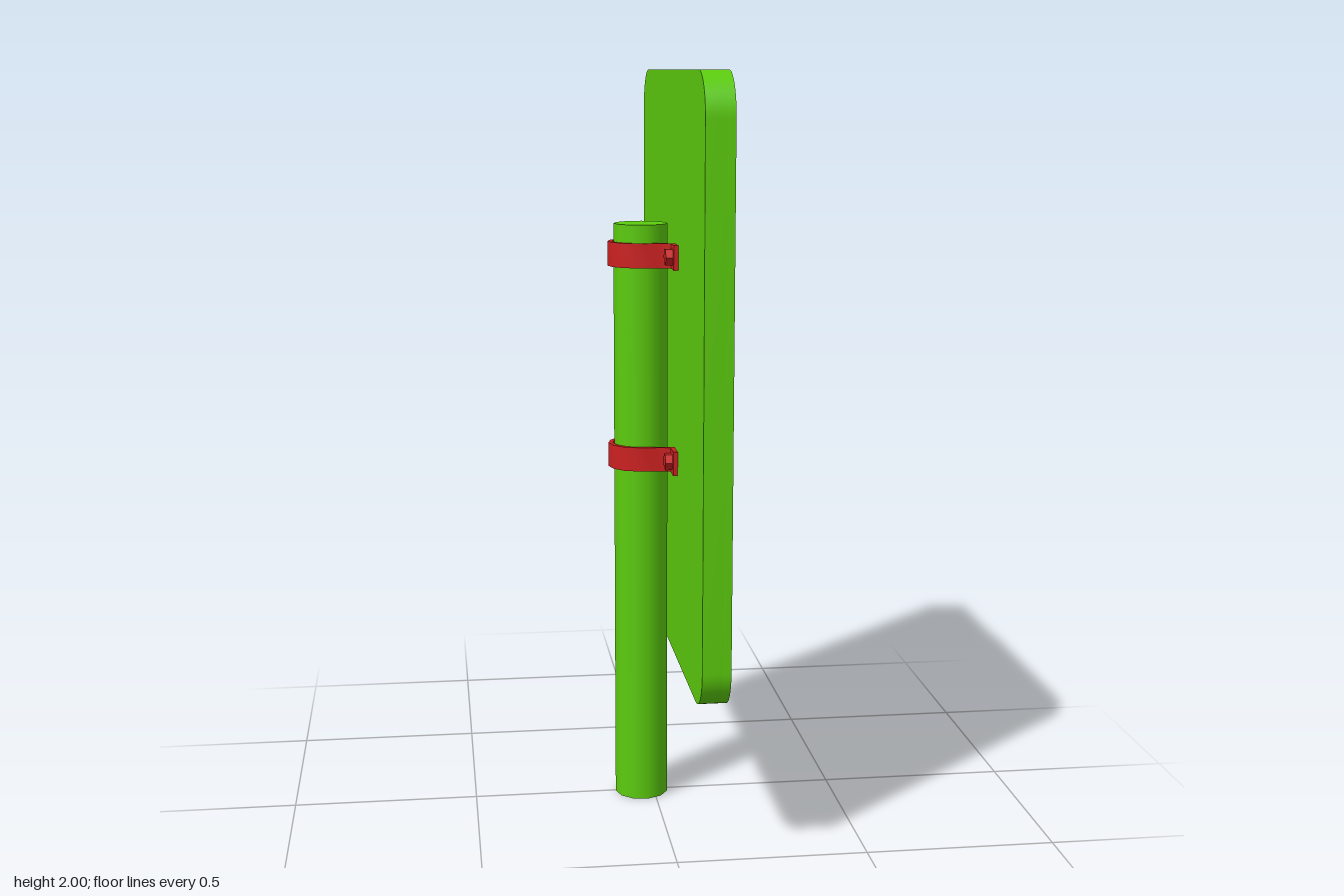
import * as THREE from 'three';
import { toCreasedNormals } from 'three/addons/utils/BufferGeometryUtils.js';

const green = new THREE.MeshStandardMaterial({ color: 0x5ccc0e });
const red = new THREE.MeshStandardMaterial({ color: 0xcc2020 });

function addMesh(parent, name, geometry, material, x = 0, y = 0, z = 0) {
  const mesh = new THREE.Mesh(geometry, material);
  mesh.name = name;
  mesh.position.set(x, y, z);
  parent.add(mesh);
  return mesh;
}

// Rounded rectangle centred on the origin, drawn counter-clockwise
function roundedRect(path, w, h, r) {
  const x = w / 2 - r, y = h / 2 - r;
  path.absarc(x, y, r, 0, Math.PI / 2);
  path.absarc(-x, y, r, Math.PI / 2, Math.PI);
  path.absarc(-x, -y, r, Math.PI, Math.PI * 1.5);
  path.absarc(x, -y, r, Math.PI * 1.5, Math.PI * 2);
  path.closePath();
  return path;
}

function extrude(shape, depth) {
  const geo = new THREE.ExtrudeGeometry(shape, { depth, bevelEnabled: false, curveSegments: 8 });
  return toCreasedNormals(geo, 0.7);
}

// Strip of constant thickness following a flat path
function stripShape(points, thickness) {
  const sides = [[], []];
  points.forEach((p, i) => {
    const a = points[Math.max(i - 1, 0)], b = points[Math.min(i + 1, points.length - 1)];
    const n = new THREE.Vector2(a.y - b.y, b.x - a.x).normalize().multiplyScalar(thickness / 2);
    sides[0].push(p.clone().add(n));
    sides[1].push(p.clone().sub(n));
  });
  return new THREE.Shape([...sides[0], ...sides[1].reverse()]);
}

// Pipe clamp: bent strap, two flat tabs and their bolts
function createClamp() {
  const clamp = new THREE.Group();
  clamp.name = 'clamp';
  const height = 0.065;
  const half = [[0.044, 0.09], [0.02, 0.083], [0, 0.08], [-0.032, 0.081], [-0.083, 0.065], [-0.108, 0.035]];
  const points = [...half, [-0.117, 0], ...half.map(([x, z]) => [x, -z]).reverse()]
    .map(([x, z]) => new THREE.Vector2(x, z));
  const strap = addMesh(clamp, 'clampStrap', extrude(stripShape(points, 0.012), height), red, 0, -height / 2);
  strap.rotation.x = -Math.PI / 2;

  for (const side of [-1, 1]) {
    addMesh(clamp, 'clampTab', new THREE.BoxGeometry(0.012, height, 0.062), red, 0.041, 0, side * 0.119);
    const bolt = toCreasedNormals(new THREE.CylinderGeometry(0.024, 0.024, 0.02, 6), 0.5);
    addMesh(clamp, 'clampBolt', bolt, red, 0.026, 0, side * 0.117).rotation.z = Math.PI / 2;
  }
  return clamp;
}

export function createModel() {
  const model = new THREE.Group();
  model.name = 'signPost';

  // Post, with one side facing the panel
  const post = new THREE.CylinderGeometry(0.073, 0.073, 1.6, 11);
  post.rotateY(Math.PI / 2 + Math.PI / 11);
  addMesh(model, 'post', post, green, -0.034, 0.8, 0.002);

  // Panel facing +x: solid back plate plus a raised rim
  const panel = new THREE.Group();
  panel.name = 'signPanel';
  panel.position.set(0.047, 1.215, 0);
  panel.rotation.y = Math.PI / 2;
  model.add(panel);
  const width = 1.2, height = 1.57, rim = 0.064, thickness = 0.073, recess = 0.02;
  addMesh(panel, 'backPlate', extrude(roundedRect(new THREE.Shape(), width, height, 0.11), thickness - recess), green);
  const rimShape = roundedRect(new THREE.Shape(), width, height, 0.11);
  rimShape.holes.push(roundedRect(new THREE.Path(), width - 2 * rim, height - 2 * rim, 0.05));
  addMesh(panel, 'panelRim', extrude(rimShape, recess), green, 0, 0, thickness - recess);

  // Clamps holding the panel to the post
  for (const y of [0.973, 1.52]) {
    const clamp = createClamp();
    clamp.position.y = y;
    model.add(clamp);
  }
  return model;
}
